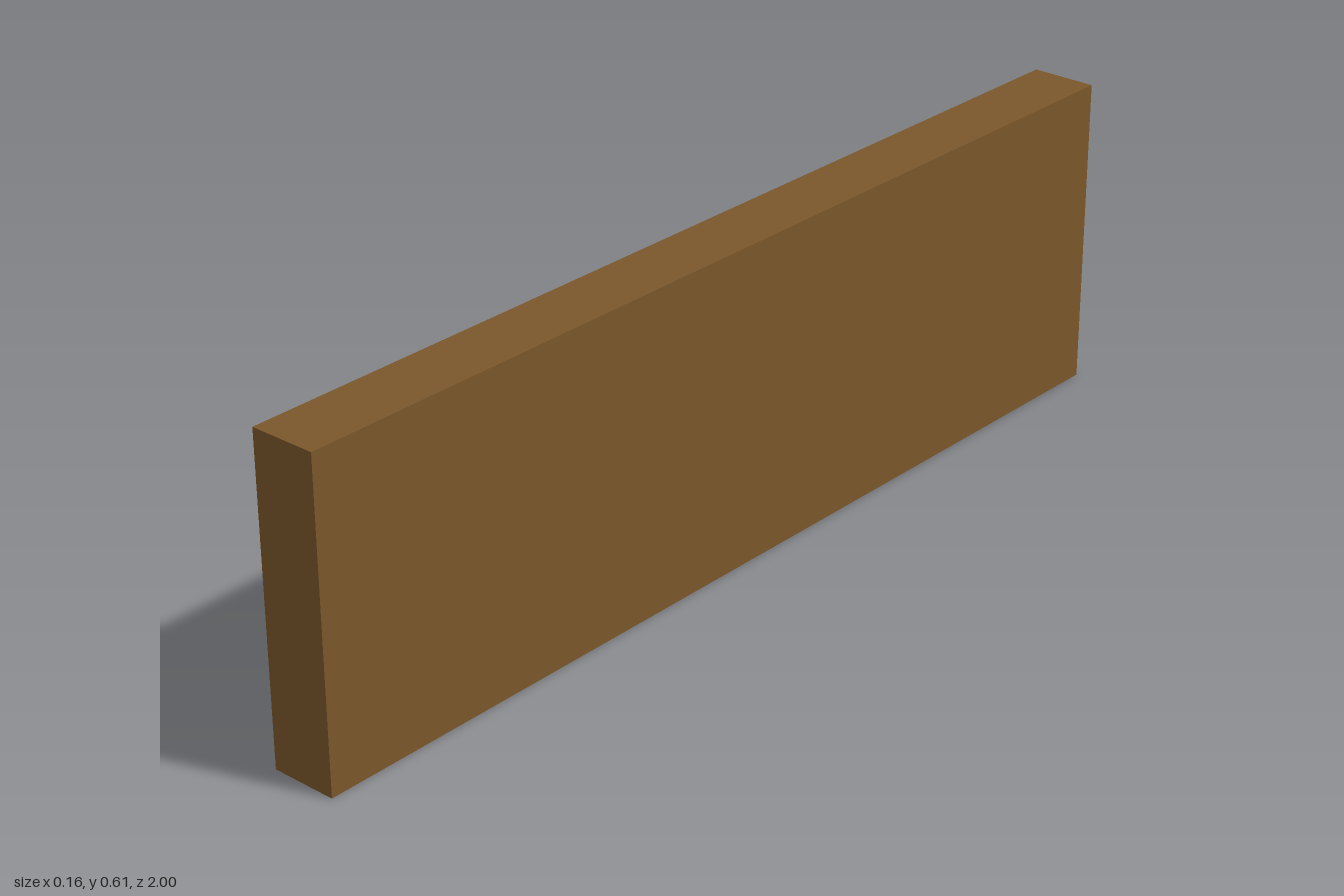
import * as THREE from 'three';

const mat = (color) => new THREE.MeshStandardMaterial({ color, flatShading: true });
const brown = mat(0x7a572b), purple = mat(0x5a32c8), pink = mat(0xe0239b), grey = mat(0xcccccc);

const FACE = 0.064;   // half the wall thickness
const HALF = 0.999;   // half the wall length
const TOP = 0.605;

const pts = (list) => list.map(([z, y]) => new THREE.Vector2(z, y));
const rect = (z0, z1, y0, y1) => pts([[z0, y0], [z1, y0], [z1, y1], [z0, y1]]);

// doorway outline with chamfered head, shrunk by d
const arch = (d = 0) => pts([
  [-0.167 + d, 0.01 + d], [0.167 - d, 0.01 + d], [0.167 - d, 0.43 - d / 2],
  [0.08 - d / 2, 0.52 - d], [-0.08 + d / 2, 0.52 - d], [-0.167 + d, 0.43 - d / 2],
]);

// extrude a (z, y) outline outward (towards -x) between distances w0 and w1
function slab(name, outline, holes, w0, w1, material) {
  const shape = new THREE.Shape(outline);
  holes.forEach((h) => shape.holes.push(new THREE.Path(h)));
  const g = new THREE.ExtrudeGeometry(shape, { depth: w1 - w0, bevelEnabled: false });
  g.rotateY(-Math.PI / 2);
  g.translate(-w0, 0, 0);
  const mesh = new THREE.Mesh(g, material);
  mesh.name = name;
  return mesh;
}

export function createModel() {
  const model = new THREE.Group();
  model.name = 'wallWithEntrance';
  const wall = rect(-HALF, HALF, 0, TOP);
  const windows = [rect(-0.318, -0.187, 0.042, 0.425), rect(0.187, 0.318, 0.042, 0.425)];

  // wall: closed rear skin, core with doorway, outer layer with doorway and windows
  model.add(slab('wallRear', wall, [], -FACE, -0.0625, brown));
  model.add(slab('wallCore', wall, [arch()], -0.0625, 0.044, brown));
  model.add(slab('wallFace', wall, [arch(), ...windows], 0.044, FACE, brown));

  // shallow side windows
  windows.forEach((w) => model.add(slab('windowPane', w, [], 0.043, 0.0445, grey)));

  // deep doorway: lining and door at the back
  model.add(slab('doorLining', arch(), [arch(0.002)], -0.0625, -0.03, purple));
  model.add(slab('doorBacking', arch(), [], -0.0625, -0.0615, purple));
  model.add(slab('door', pts([
    [-0.165, 0.012], [0.165, 0.012], [0.165, 0.345],
    [0.08, 0.425], [-0.08, 0.425], [-0.165, 0.345],
  ]), [], -0.0615, -0.06, pink));

  // gable over the entrance, open above the doorway
  model.add(slab('gableBoard', pts([
    [-0.316, 0.436], [-0.165, 0.436], [-0.08, 0.52], [0.08, 0.52],
    [0.165, 0.436], [0.316, 0.436], [0, 0.564],
  ]), [], 0.06, 0.081, purple));
  for (const s of [-1, 1]) {
    const strip = [[0, 0.564], [s * 0.316, 0.436], [s * 0.322, 0.437], [0, 0.568]];
    model.add(slab('gableRoof', pts(strip), [], 0.06, 0.0815, brown));
  }

  // the wall stands slightly askew
  model.rotation.y = -0.013;
  model.position.x = 0.0045;
  const root = new THREE.Group();
  root.name = 'building';
  root.add(model);
  return root;
}
